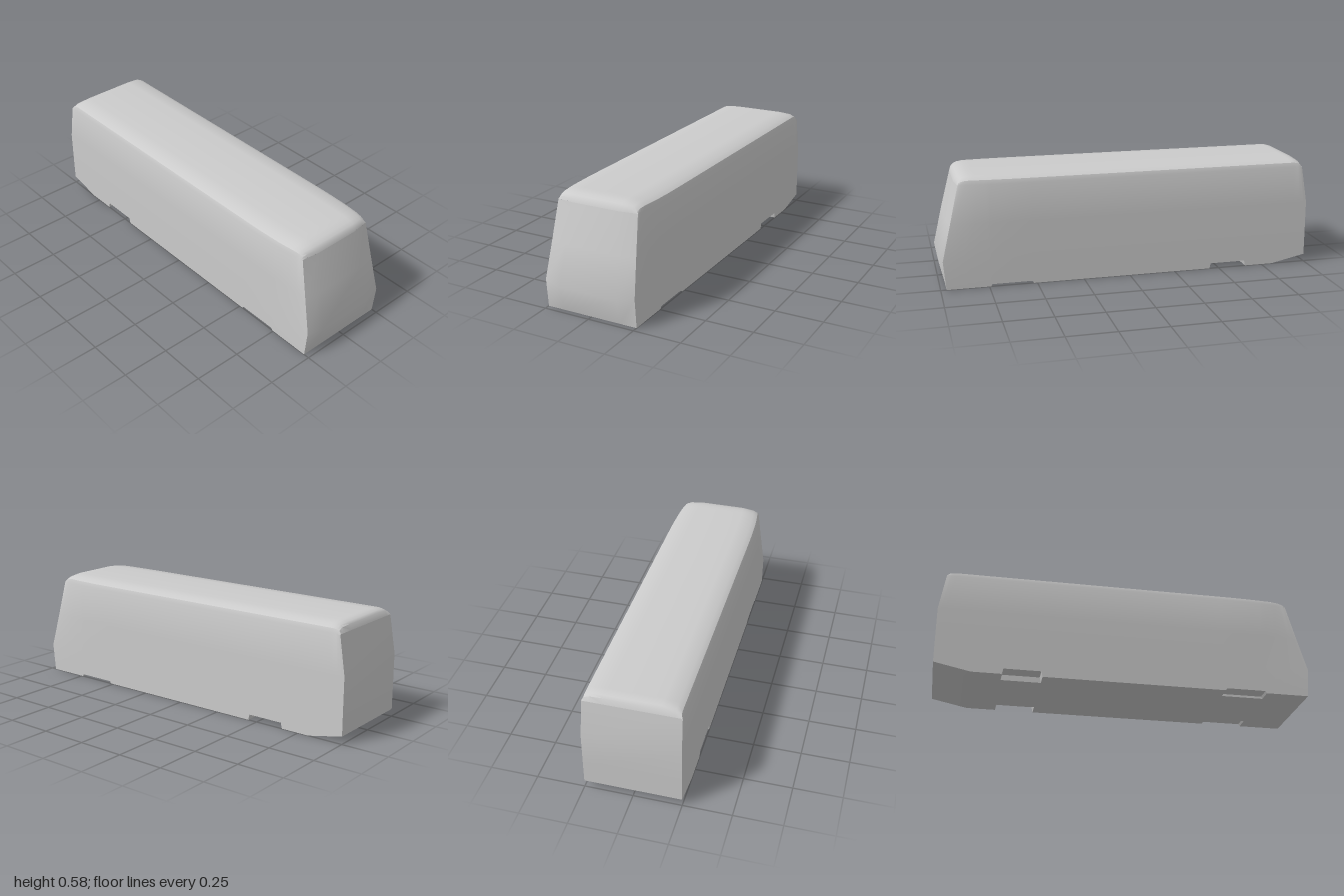
import * as THREE from 'three';
import { toCreasedNormals } from 'three/addons/utils/BufferGeometryUtils.js';

// Half section levels from the underside to the roof: z, y, rear x, front x, width at the nose
const LEVELS = [
  [0.17, 0, -1, 0.97, 0.17],
  [0.17, 0, -1, 0.97, 0.17],
  [0.25, 0, -1, 0.97, 0.25],
  [0.25, 0.15, -1, 0.983, 0.25],
  [0.249, 0.34, -1, 0.937, 0.235],
  [0.245, 0.54, -0.967, 0.89, 0.22],
  [0.237, 0.562, -0.967, 0.891, 0.213],
  [0.21, 0.577, -0.967, 0.894, 0.189],
  [0.14, 0.583, -0.967, 0.903, 0.126],
];
// Stations along the body, with close pairs at the wheel cut-outs
const STATIONS = [-0.97, -0.958, -0.945, -0.92, -0.9, -0.81, -0.655, -0.648, -0.455, -0.448, 0,
  0.518, 0.525, 0.62, 0.735, 0.742, 0.75, 0.8, 0.83, 0.86, 0.88, 0.893, 0.9];
const SHOULDER = 0.54;
const ROOF = 0.583;

// Wheel cut-out height at a station
function cutout(x) {
  if (x > -0.65 && x < -0.45) return 0.03;
  if (x > 0.52 && x < 0.74) return 0.012;
  return 0;
}

// The roof rolls down to the shoulder line at both ends
function roofScale(x) {
  const front = THREE.MathUtils.clamp((x - 0.83) / 0.07, 0, 1);
  const rear = THREE.MathUtils.clamp((-0.92 - x) / 0.05, 0, 1);
  return Math.sqrt(1 - Math.max(front, rear) ** 2);
}

function bodyPoint(station, level, side) {
  const [halfWidth, height, rear, front, noseWidth] = LEVELS[level];
  let x = station;
  if (station > 0.75) x = 0.75 + (station - 0.75) * (front - 0.75) / 0.15;
  if (station < -0.9) x = -0.9 + (station + 0.9) * (rear + 0.9) / -0.07;
  // Sides narrow towards the windscreen
  const t = Math.max(0, (station - 0.5) / 0.4) ** 3;
  const z = THREE.MathUtils.lerp(halfWidth, noseWidth, t);
  let y = height;
  if (level < 3) y = Math.max(0, (-0.81 - x) / 0.19 * 0.04);
  if (level === 1 || level === 2) y += cutout(station);
  if (level > 5) y = SHOULDER + (height - SHOULDER) * roofScale(station);
  return [x, y, z * side];
}

// Surface through rows of points; closed joins the last point of each row to the first
function loft(rows, closed) {
  const n = rows[0].length;
  const index = [];
  for (let k = 0; k < rows.length - 1; k++) {
    for (let j = 0; j < (closed ? n : n - 1); j++) {
      const next = (j + 1) % n;
      const a = k * n + j, b = a + n, c = (k + 1) * n + next, d = k * n + next;
      index.push(a, b, c, a, c, d);
    }
  }
  const geometry = new THREE.BufferGeometry();
  geometry.setAttribute('position', new THREE.Float32BufferAttribute(rows.flat(2), 3));
  geometry.setIndex(index);
  return toCreasedNormals(geometry, 0.6);
}

export function createModel() {
  const group = new THREE.Group();
  const material = new THREE.MeshStandardMaterial({ color: 0xcccccc });
  const add = (name, geometry) => {
    const mesh = new THREE.Mesh(geometry, material);
    mesh.name = name;
    group.add(mesh);
  };

  // Shell: sides, rounded roof, underside and wheel cut-outs in one loft
  const order = LEVELS.map((_, i) => i);
  const sections = STATIONS.map(s => [
    ...order.map(i => bodyPoint(s, i, 1)),
    ...order.slice().reverse().map(i => bodyPoint(s, i, -1)),
  ]);
  add('bodyShell', loft(sections, true));

  // Front: bumper and raked windscreen, bowed forward in the middle
  const faceLevels = [2, 3, 4, 5];
  const bow = [[0.97, 0, 0.16], [1, 0.133, 0.16], [0.953, 0.34, 0.145], [0.903, SHOULDER, 0.126]];
  const column = (station, side) => faceLevels.map(i => bodyPoint(station, i, side));
  const bowColumn = side => bow.map(([x, y, z]) => [x, y, z * side]);
  add('frontFace', loft([column(0.9, 1), bowColumn(1), bowColumn(-1), column(0.9, -1)], false));

  // Rear: upright lower panel and inclined upper panel
  add('rearFace', loft([column(-0.97, -1), column(-0.97, 1)], false));
  return group;
}
